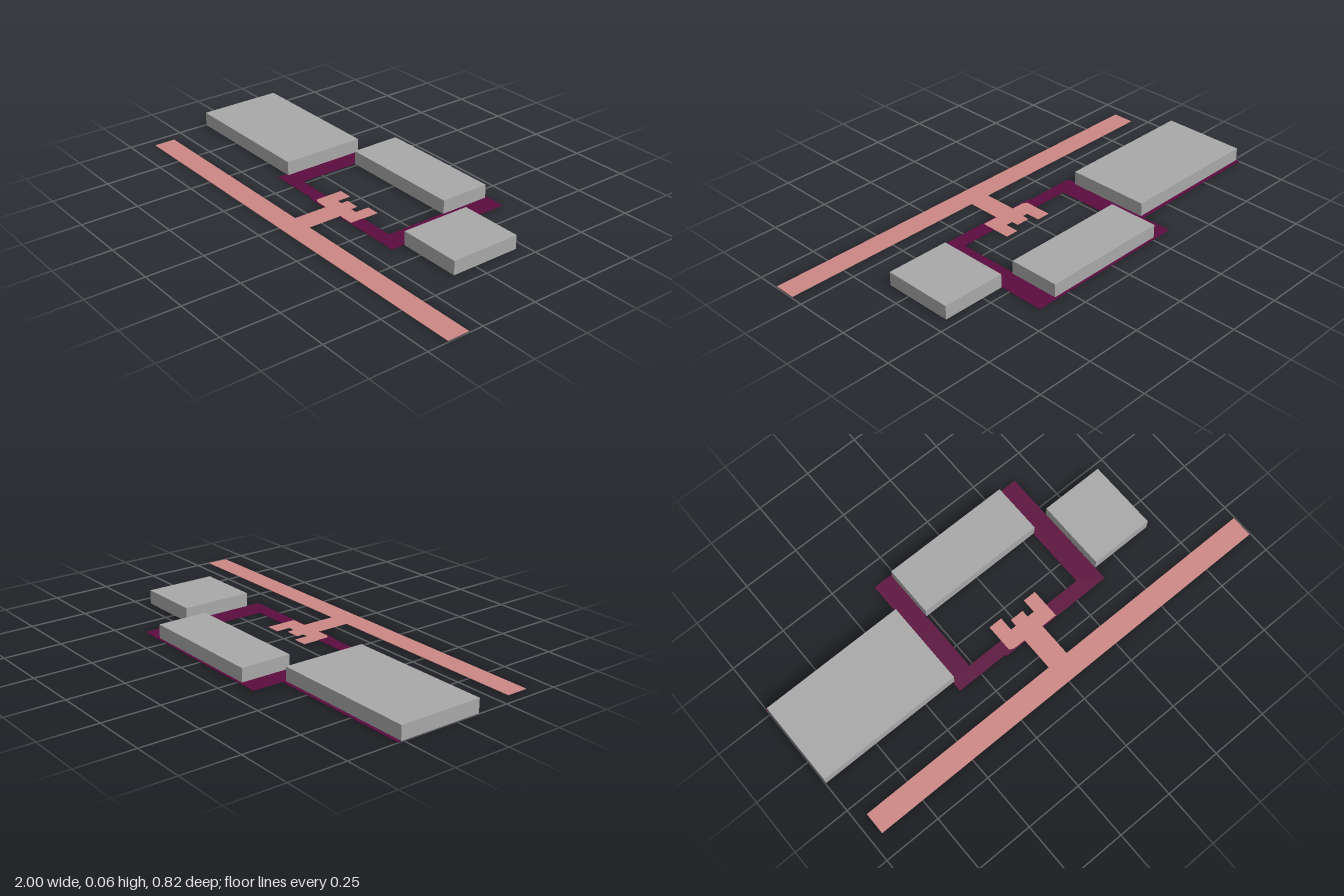
import * as THREE from 'three';

const grey = new THREE.MeshStandardMaterial({ name: 'building grey', color: 0xa8a8a8 });
const purple = new THREE.MeshStandardMaterial({ name: 'walkway purple', color: 0x5c0d3e });
const pink = new THREE.MeshStandardMaterial({ name: 'road pink', color: 0xcc8785 });

// Flat plate lying on the ground, outlined by [x, z] points
function plate(name, points, material) {
  const shape = new THREE.Shape(points.map(([x, z]) => new THREE.Vector2(x, -z)));
  const geometry = new THREE.ExtrudeGeometry(shape, { depth: 0.002, bevelEnabled: false });
  geometry.rotateX(-Math.PI / 2);
  const mesh = new THREE.Mesh(geometry, material);
  mesh.name = name;
  return mesh;
}

// Low building block given by its ground extents
function building(name, x0, x1, z0, z1) {
  const height = 0.061;
  const mesh = new THREE.Mesh(new THREE.BoxGeometry(x1 - x0, height, z1 - z0), grey);
  mesh.position.set((x0 + x1) / 2, height / 2, (z0 + z1) / 2);
  mesh.name = name;
  return mesh;
}

export function createModel() {
  const model = new THREE.Group();
  model.name = 'sitePlan';

  // Three buildings around the courtyard
  model.add(
    building('rightBuilding', -0.997, -0.352, -0.26, 0.112),
    building('backBuilding', -0.265, 0.31, -0.4, -0.175),
    building('leftBuilding', 0.403, 0.687, -0.208, 0.105),
  );

  // Walkway framing the courtyard, open at the front for the entrance,
  // with a narrow strip behind the right building
  model.add(plate('courtyardWalkway', [
    [-0.025, 0.165], [-0.125, 0.165], [-0.125, 0.157], [-0.36, 0.157],
    [-0.36, 0.113], [-0.35, 0.113], [-0.35, -0.26], [-1, -0.26],
    [-1, -0.275], [-0.35, -0.275], [-0.35, -0.41], [0.402, -0.41],
    [0.402, 0.165], [0.07, 0.165], [0.07, 0.16], [0.142, 0.16],
    [0.142, 0.1], [0.305, 0.1], [0.305, -0.4], [-0.265, -0.4],
    [-0.265, 0.1], [-0.099, 0.1], [-0.099, 0.15], [-0.08, 0.16], [-0.025, 0.16],
  ], purple));

  // Street along the front, with a stem leading to the pronged entrance
  model.add(plate('streetAndEntrance', [
    [-0.95, 0.31], [-0.025, 0.31], [-0.025, 0.16], [-0.08, 0.16],
    [-0.099, 0.15], [-0.099, 0.027], [-0.038, 0.027], [-0.038, 0.09],
    [-0.012, 0.09], [-0.012, 0.058], [0.05, 0.058], [0.05, 0.09],
    [0.083, 0.09], [0.083, 0.027], [0.142, 0.027], [0.142, 0.16],
    [0.07, 0.16], [0.07, 0.31], [0.995, 0.31], [0.995, 0.406], [-0.95, 0.406],
  ], pink));

  return model;
}
